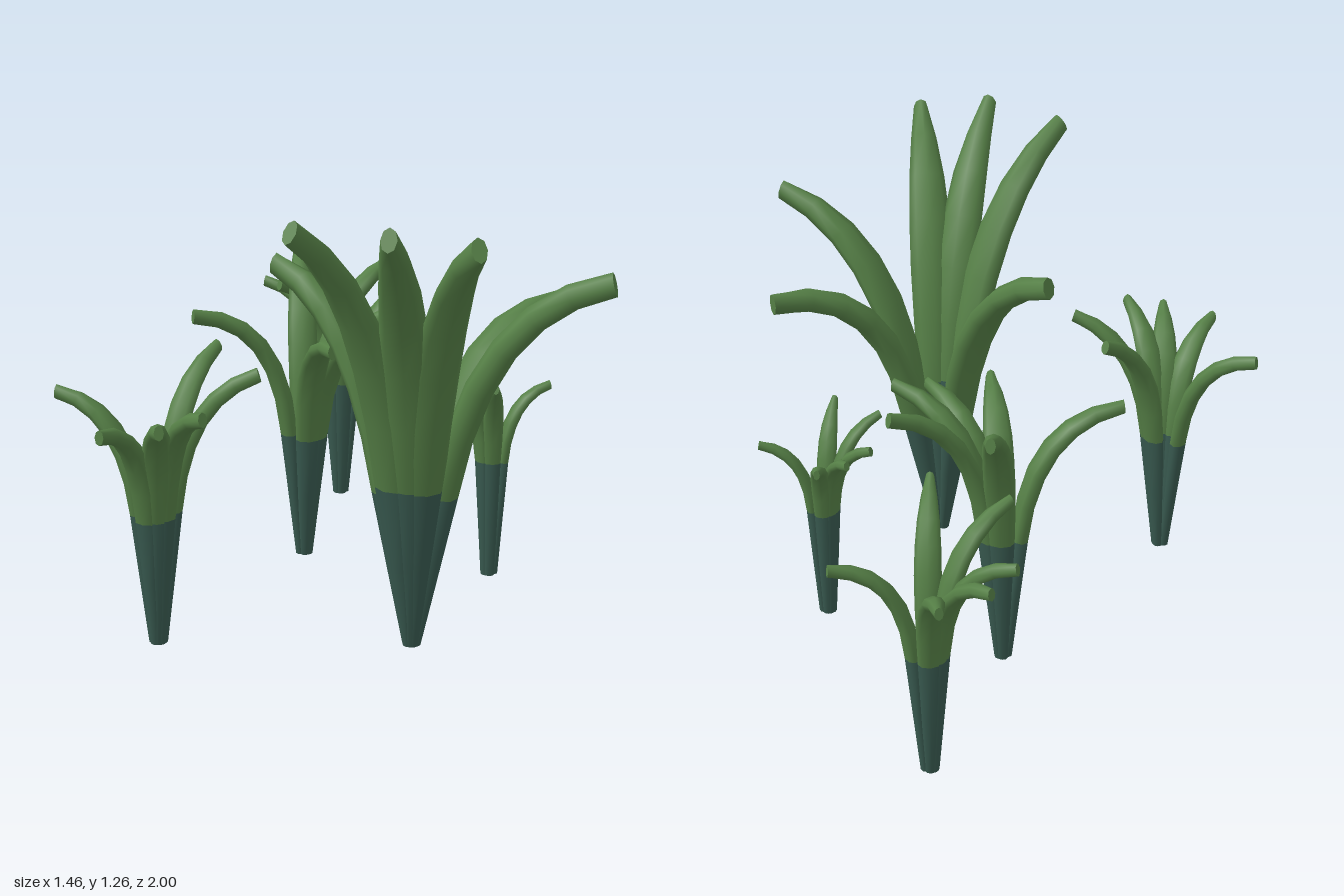
import * as THREE from 'three';

const leafGreen = new THREE.MeshStandardMaterial({ color: 0x557f46 });
leafGreen.name = 'leafGreen';
const stemTeal = new THREE.MeshStandardMaterial({ color: 0x38594f });
stemTeal.name = 'stemTeal';

const SIDES = 8;

// Closed tube with an elliptical section; rings: { p, t, w, h } = centre, tangent, width, thickness
function loft(rings, side, capStart, capEnd) {
  const pos = [], idx = [];
  const addRing = ({ p, t, w, h }) => {
    const start = pos.length / 3;
    const n = new THREE.Vector3().crossVectors(t, side).normalize();
    for (let j = 0; j < SIDES; j++) {
      const a = (j / SIDES) * Math.PI * 2;
      const v = p.clone()
        .addScaledVector(side, Math.cos(a) * w / 2)
        .addScaledVector(n, Math.sin(a) * h / 2);
      pos.push(v.x, v.y, v.z);
    }
    return start;
  };
  rings.forEach(addRing);
  for (let i = 0; i < rings.length - 1; i++) {
    for (let j = 0; j < SIDES; j++) {
      const k = (j + 1) % SIDES, lo = i * SIDES, hi = lo + SIDES;
      idx.push(lo + j, lo + k, hi + k, lo + j, hi + k, hi + j);
    }
  }
  // Caps use their own vertices so their rims stay sharp
  if (capStart) {
    const s = addRing(rings[0]);
    for (let j = 1; j < SIDES - 1; j++) idx.push(s, s + j + 1, s + j);
  }
  if (capEnd) {
    const s = addRing(rings[rings.length - 1]);
    for (let j = 1; j < SIDES - 1; j++) idx.push(s, s + j, s + j + 1);
  }
  const g = new THREE.BufferGeometry();
  g.setAttribute('position', new THREE.Float32BufferAttribute(pos, 3));
  g.setIndex(idx);
  g.computeVertexNormals();
  return g;
}

// Blade width and thickness from the stem joint to the tip, relative to the widest point
const BLADE_WIDTH = [0.86, 0.96, 1, 0.95, 0.82, 0.6, 0.32];
const BLADE_THICK = [0.58, 0.6, 0.6, 0.58, 0.56, 0.54, 0.5];

// One leaf: straight dark stem, then a blade arching over to its tip
function makeLeaf(plant, [tx, ty, tz]) {
  const dx = tx - plant.x, dz = tz - plant.z, reach = Math.hypot(dx, dz);
  const out = new THREE.Vector3(dx / reach, 0, dz / reach);
  const side = new THREE.Vector3(-out.z, 0, out.x);
  const at = (r, y) => out.clone().multiplyScalar(r).setY(y);

  // Taller leaves have slightly longer stems
  const foot = at(0.013, 0), joint = at(plant.spread, 0.23 + 0.2 * ty), tip = at(reach, ty);
  const dir = joint.clone().sub(foot).normalize();
  const chord = tip.clone().sub(joint);
  const pull = 1.28 * chord.lengthSq() / (2 * dir.dot(chord));
  const arc = new THREE.QuadraticBezierCurve3(joint, joint.clone().addScaledVector(dir, pull), tip);

  const lerp = THREE.MathUtils.lerp, w = plant.width;
  const up = new THREE.Vector3(0, 1, 0);
  const stem = [0, 0.5, 1].map((f) => ({
    p: foot.clone().lerp(joint, f),
    t: f === 0 ? up : dir,
    w: lerp(0.03, BLADE_WIDTH[0] * w, f),
    h: lerp(0.026, BLADE_THICK[0] * w, f),
  }));
  const blade = BLADE_WIDTH.map((bw, i) => {
    const f = i / (BLADE_WIDTH.length - 1);
    return { p: arc.getPoint(f), t: arc.getTangent(f), w: bw * w, h: BLADE_THICK[i] * w };
  });

  const leaf = new THREE.Group();
  leaf.name = 'leaf';
  const stemMesh = new THREE.Mesh(loft(stem, side, true, false), stemTeal);
  stemMesh.name = 'leafStem';
  const bladeMesh = new THREE.Mesh(loft(blade, side, false, true), leafGreen);
  bladeMesh.name = 'leafBlade';
  leaf.add(stemMesh, bladeMesh);
  return leaf;
}

// Each plant: centre, spread at the stem joints, leaf width, leaf tips
const PLANTS = [
  { name: 'largePlant', x: 0.17, z: 0.5, spread: 0.085, width: 0.13, tips: [
    [-0.105, 0.985, 0.095], [0.66, 0.885, 0.305], [0.607, 1.045, 0.775],
    [0.165, 1.21, 0.99], [-0.043, 1.235, 0.937], [-0.237, 1.225, 0.755]] },
  { name: 'middlePlant', x: 0.07, z: -0.243, spread: 0.048, width: 0.087, tips: [
    [0.142, 0.865, -0.575], [0.387, 0.855, -0.383], [0.347, 0.785, -0.045],
    [0.243, 0.73, 0.055], [0.06, 0.72, 0.097], [-0.268, 0.765, -0.218]] },
  { name: 'backPlant', x: 0.328, z: -0.743, spread: 0.04, width: 0.072, tips: [
    [0.32, 0.645, -0.995], [0.187, 0.665, -0.957], [0.113, 0.685, -0.884],
    [0.095, 0.735, -0.627], [0.29, 0.74, -0.487], [0.577, 0.655, -0.78]] },
  { name: 'smallPlant', x: 0.55, z: 0.062, spread: 0.033, width: 0.057, tips: [
    [0.725, 0.565, 0.06], [0.572, 0.555, -0.117], [0.487, 0.57, -0.105],
    [0.416, 0.585, -0.054], [0.376, 0.615, 0.112], [0.498, 0.615, 0.225]] },
  { name: 'sidePlant', x: -0.49, z: 0.305, spread: 0.048, width: 0.082, tips: [
    [-0.725, 0.685, 0.147], [-0.274, 0.775, 0.127], [-0.223, 0.76, 0.383],
    [-0.418, 0.71, 0.575], [-0.532, 0.685, 0.577], [-0.674, 0.665, 0.515]] },
];

export function createModel() {
  const model = new THREE.Group();
  model.name = 'plantCluster';
  for (const plant of PLANTS) {
    const group = new THREE.Group();
    group.name = plant.name;
    group.position.set(plant.x, 0, plant.z);
    for (const tip of plant.tips) group.add(makeLeaf(plant, tip));
    model.add(group);
  }
  return model;
}
